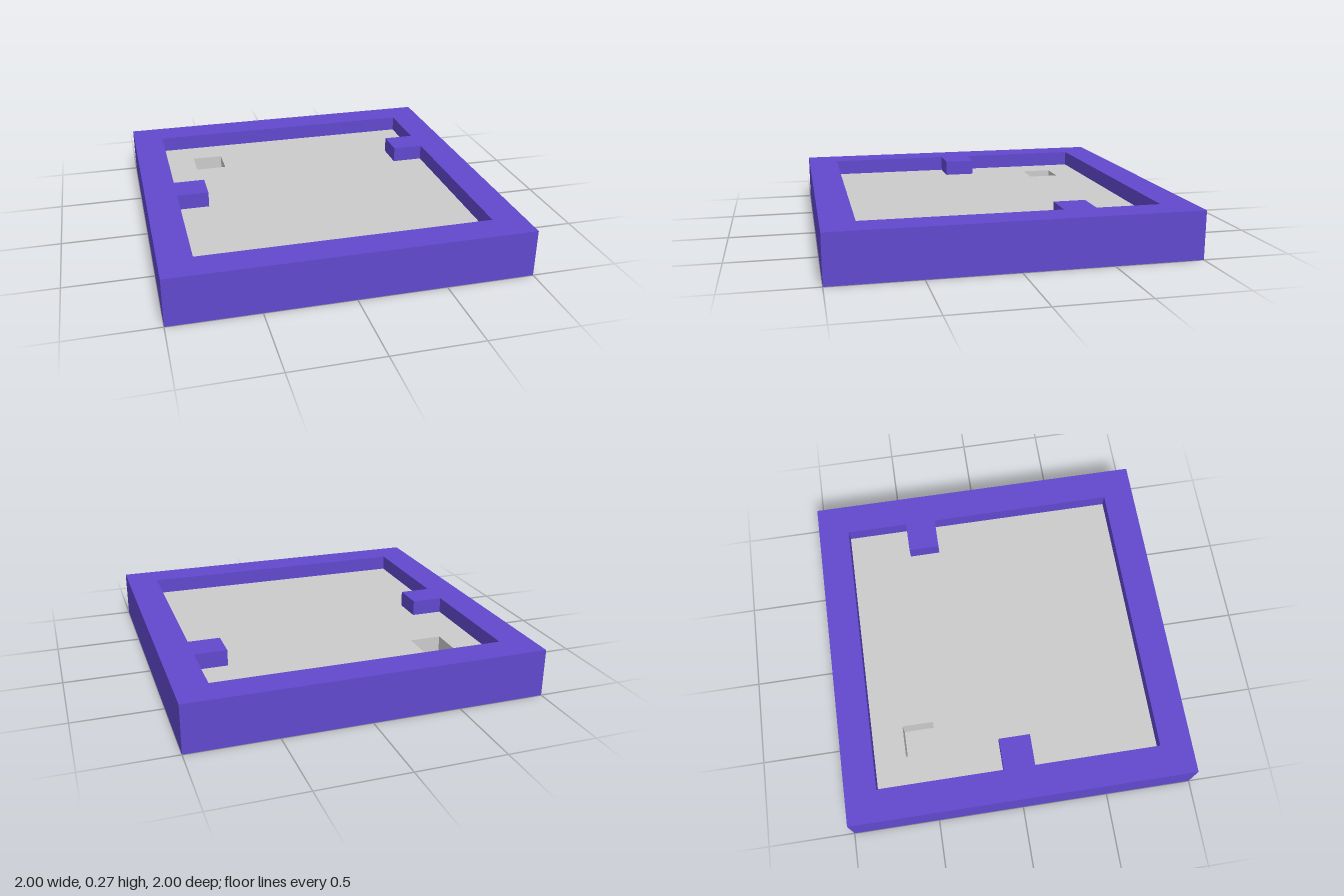
import * as THREE from 'three';

const UNIT = 2 / 11;          // wall thickness and tab size
const HEIGHT = 1.5 * UNIT;    // full height of the tray
const FLOOR = UNIT;           // height of the recessed floor
const BASE = 0.04;            // thickness of the closed underside
const INNER = 1 - UNIT;       // half width of the recess

const purple = new THREE.MeshStandardMaterial({ color: 0x6249cf });
const grey = new THREE.MeshStandardMaterial({ color: 0xcccccc });

// Corners are [x, z] seen from above
const toPoints = (corners) => corners.map(([x, z]) => new THREE.Vector2(x, -z));

const square = (x, z, half) => [
  [x - half, z + half], [x + half, z + half], [x + half, z - half], [x - half, z - half],
];

// Upright slab with an optional hole, from height y0 to y1
function slab(name, outline, hole, y0, y1, material) {
  const shape = new THREE.Shape(toPoints(outline));
  if (hole) shape.holes.push(new THREE.Path(toPoints(hole)));
  const geometry = new THREE.ExtrudeGeometry(shape, { depth: y1 - y0, bevelEnabled: false });
  geometry.rotateX(-Math.PI / 2).translate(0, y0, 0);
  const mesh = new THREE.Mesh(geometry, material);
  mesh.name = name;
  return mesh;
}

export function createModel() {
  const group = new THREE.Group();
  group.name = 'tray';

  // Outline of the recess, with a square tab reaching in from each side wall
  const tab = INNER - UNIT;
  const recess = [
    [-INNER, INNER], [INNER, INNER],
    [INNER, -1.5 * UNIT], [tab, -1.5 * UNIT], [tab, -2.5 * UNIT], [INNER, -2.5 * UNIT],
    [INNER, -INNER], [-INNER, -INNER],
    [-INNER, -UNIT / 2], [-tab, -UNIT / 2], [-tab, UNIT / 2], [-INNER, UNIT / 2],
  ];
  const pit = square(-3 * UNIT, -3 * UNIT, UNIT / 2);

  group.add(
    slab('wallsWithTabs', square(0, 0, 1), recess, 0, HEIGHT, purple),
    slab('underside', recess, null, 0, BASE, purple),
    slab('floor', recess, pit, BASE, FLOOR, grey),
    slab('pitBottom', pit, null, BASE, BASE + 0.005, grey),
  );
  return group;
}
